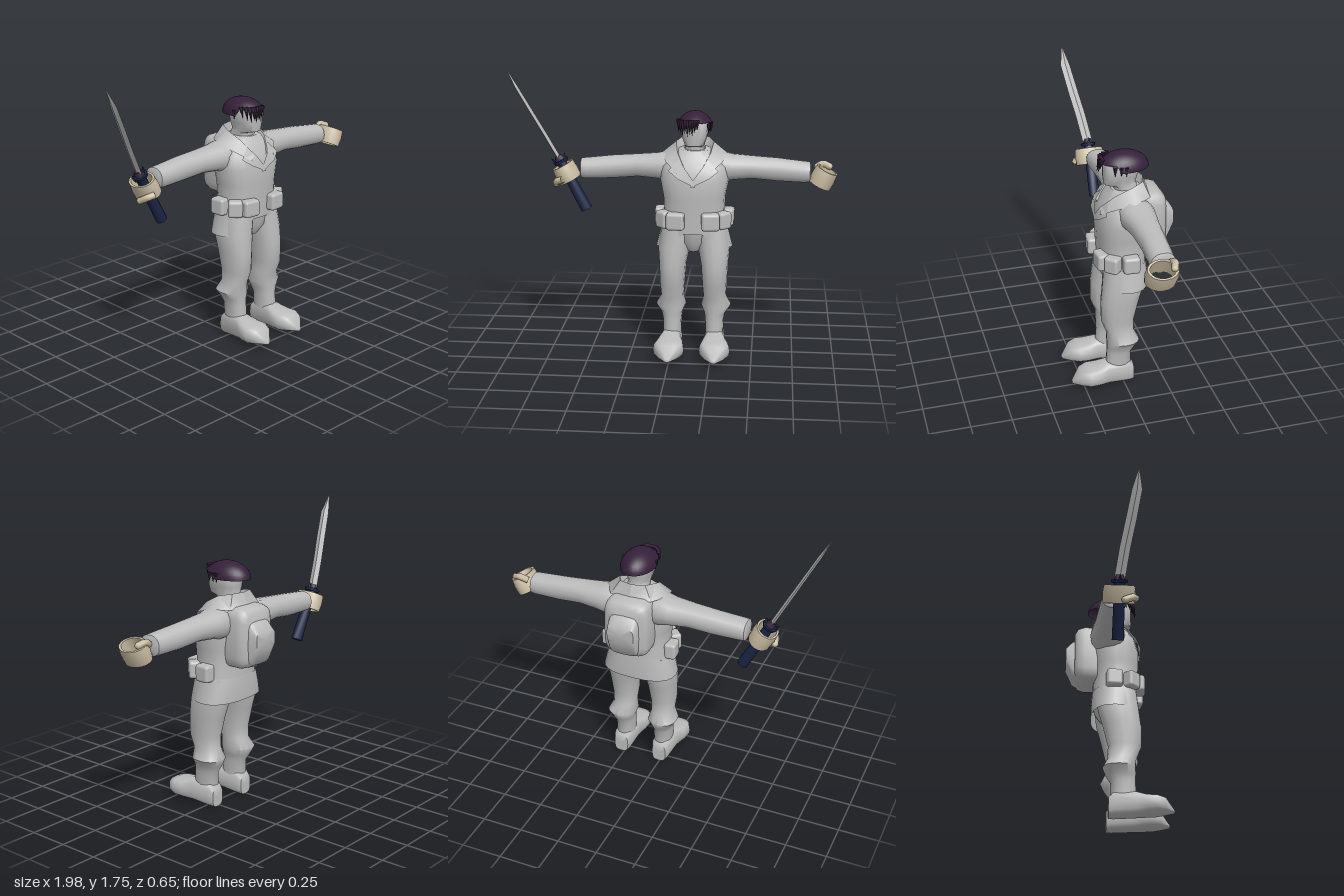
import * as THREE from 'three';
import { toCreasedNormals } from 'three/addons/utils/BufferGeometryUtils.js';
import { RoundedBoxGeometry } from 'three/addons/geometries/RoundedBoxGeometry.js';

const mat = (name, color) => Object.assign(new THREE.MeshStandardMaterial({ color, side: THREE.DoubleSide }), { name });

// Loft of superellipse sections [t, cu, cv, ru, rv] along an axis
const AXES = {
  y: (u, t, v) => [u, t, v],
  z: (u, t, v) => [v, u, t], // u = y, v = x
  x: (u, t, v) => [t, v, u], // u = z, v = y
};
function loft(axis, sections, { n = 16, e = 1, caps = true, crease = 0.9 } = {}) {
  const secs = [...sections].sort((a, b) => a[0] - b[0]);
  const pos = [], idx = [], map = AXES[axis];
  const pw = (c) => Math.sign(c) * Math.abs(c) ** e;
  for (const [t, cu, cv, ru, rv] of secs)
    for (let j = 0; j < n; j++) {
      const a = (j / n) * Math.PI * 2;
      pos.push(...map(cu + ru * pw(Math.cos(a)), t, cv + rv * pw(Math.sin(a))));
    }
  for (let i = 0; i < secs.length - 1; i++)
    for (let j = 0; j < n; j++) {
      const a = i * n + j, b = i * n + (j + 1) % n;
      idx.push(a, a + n, b, b, a + n, b + n);
    }
  if (caps) {
    const base = secs.length * n, last = base - n;
    for (const s of [secs[0], secs[secs.length - 1]]) pos.push(...map(s[1], s[0], s[2]));
    for (let j = 0; j < n; j++) {
      const k = (j + 1) % n;
      idx.push(base, j, k, base + 1, last + k, last + j);
    }
  }
  const g = new THREE.BufferGeometry();
  g.setAttribute('position', new THREE.Float32BufferAttribute(pos, 3));
  g.setIndex(idx);
  return toCreasedNormals(g, crease);
}

// Ribbon between two edges of equal length
function ribbon(inner, outer) {
  const pos = [...inner, ...outer].flat(), idx = [], n = inner.length;
  for (let i = 0; i < n - 1; i++) idx.push(i, i + n, i + 1, i + 1, i + n, i + n + 1);
  const g = new THREE.BufferGeometry();
  g.setAttribute('position', new THREE.Float32BufferAttribute(pos, 3));
  g.setIndex(idx);
  return toCreasedNormals(g, 0.9);
}

export function createModel() {
  const grey = mat('cloth grey', 0xbcbcbc);
  const purple = mat('dark purple', 0x35203a);
  const beige = mat('glove beige', 0xcabda3);
  const navy = mat('handle navy', 0x1a2545);

  const model = new THREE.Group();
  const body = new THREE.Group();
  body.name = 'body';
  body.position.x = 0.137;
  model.add(body);
  const add = (parent, name, geo, m) => {
    const mesh = new THREE.Mesh(geo, m);
    mesh.name = name;
    parent.add(mesh);
    return mesh;
  };

  // Jacket
  add(body, 'jacket', loft('y', [
    [0.78, 0, -0.02, 0.2, 0.14], [0.92, 0, -0.015, 0.186, 0.138], [1.0, 0, -0.015, 0.19, 0.143],
    [1.1, 0, -0.02, 0.21, 0.15], [1.18, 0, -0.03, 0.2, 0.14], [1.24, 0, -0.05, 0.16, 0.12],
    [1.28, 0, -0.06, 0.1, 0.1],
  ], { n: 20, e: 0.8 }), grey);

  // Skirt of the jacket, cut away at the front
  const skirt = loft('y', [[0.66, 0, -0.025, 0.235, 0.14], [0.74, 0, -0.025, 0.217, 0.142], [0.83, 0, -0.02, 0.197, 0.141]],
    { n: 24, e: 0.8, caps: false });
  const sp = skirt.attributes.position;
  for (let i = 0; i < sp.count; i++) {
    const f = Math.max(0, sp.getZ(i) + 0.03) / 0.145;
    const low = (0.83 - sp.getY(i)) / 0.17;
    sp.setY(i, sp.getY(i) + low * (0.02 + 0.13 * f * (1 - Math.abs(sp.getX(i)) / 0.24)));
  }
  add(body, 'jacketSkirt', skirt, grey);
  add(body, 'pelvis', loft('y', [[0.66, 0, -0.02, 0.05, 0.09], [0.72, 0, -0.02, 0.13, 0.125], [0.82, 0, -0.02, 0.18, 0.13]]), grey);

  // Head and neck
  add(body, 'head', loft('y', [
    [1.18, 0, -0.05, 0.065, 0.065], [1.3, 0, -0.045, 0.062, 0.07], [1.315, 0, -0.012, 0.06, 0.095],
    [1.36, 0, -0.015, 0.076, 0.102], [1.45, 0, -0.018, 0.085, 0.105], [1.475, 0, -0.025, 0.07, 0.08],
  ], { e: 0.75 }), grey);

  // Hair: domed cap with a higher front hairline, and a ragged fringe
  const cap = new THREE.SphereGeometry(1, 28, 9, 0, Math.PI * 2, 0, Math.PI / 2).scale(0.106, 0.1, 0.15);
  const cp = cap.attributes.position;
  for (let i = 0; i < cp.count; i++) if (cp.getZ(i) > 0.04) cp.setY(i, Math.max(cp.getY(i), 0.045));
  cap.computeVertexNormals();
  add(body, 'hairCap', cap, purple).position.set(0, 1.41, -0.038);
  for (let i = 0; i < 9; i++) {
    const x = -0.094 + i * 0.0145, len = [0.07, 0.085, 0.1, 0.08, 0.1, 0.085, 0.095, 0.075, 0.06][i];
    const lock = add(body, 'fringeLock', new THREE.ConeGeometry(0.014, len, 5), purple);
    lock.position.set(x, 1.475 - len / 2, 0.102 - 5 * Math.min(0, x + 0.04) ** 2 * 4);
    lock.rotation.x = Math.PI - 0.25;
  }
  for (const [x, z] of [[0.093, 0.0], [0.097, -0.03], [-0.097, -0.02], [0.085, 0.035]]) {
    const lock = add(body, 'sideLock', new THREE.ConeGeometry(0.014, 0.06, 5), purple);
    lock.position.set(x, 1.415, z);
    lock.rotation.x = Math.PI;
  }

  for (const s of [1, -1]) {
    const side = s > 0 ? 'left' : 'right';
    const flip = (pts) => pts.map(([x, y, z]) => [s * x, y, z]);

    // Standing collar, its fold, and the lapel
    const rim = flip([[0, 1.335, -0.155], [0.08, 1.335, -0.135], [0.115, 1.32, -0.06], [0.1, 1.27, 0.04], [0.055, 1.19, 0.115]]);
    add(body, side + 'Collar', ribbon(rim,
      flip([[0, 1.25, -0.185], [0.13, 1.25, -0.165], [0.2, 1.25, -0.06], [0.17, 1.215, 0.06], [0.095, 1.16, 0.132]])), grey);
    add(body, side + 'CollarInside', ribbon(rim,
      flip([[0, 1.24, -0.13], [0.06, 1.24, -0.11], [0.075, 1.24, -0.05], [0.06, 1.2, 0.03], [0.03, 1.14, 0.1]])), grey);
    add(body, side + 'Lapel', ribbon(
      flip([[0.085, 1.235, 0.08], [0.045, 1.18, 0.122], [0, 1.12, 0.135]]),
      flip([[0.15, 1.17, 0.105], [0.095, 1.13, 0.137], [-0.015, 1.075, 0.142]])), grey);

    // Sleeve
    add(body, side + 'Sleeve', loft('x', [
      [0.08, -0.06, 1.16, 0.1, 0.09], [0.17, -0.07, 1.165, 0.108, 0.092], [0.23, -0.073, 1.165, 0.1, 0.077],
      [0.35, -0.073, 1.165, 0.083, 0.068], [0.5, -0.073, 1.153, 0.074, 0.07], [0.66, -0.064, 1.143, 0.072, 0.064],
      [0.695, -0.064, 1.143, 0.07, 0.061], [0.7, -0.064, 1.143, 0.06, 0.052],
    ].map(([t, ...r]) => [s * t, ...r]), { e: 0.85 }), grey);

    // Trouser leg with a bloused cuff, then the boot
    add(body, side + 'Leg', loft('y', [
      [0.1, 0.13, 0.03, 0.054, 0.08], [0.22, 0.13, 0.025, 0.058, 0.075], [0.265, 0.132, 0.01, 0.066, 0.09],
      [0.31, 0.138, 0.002, 0.092, 0.1], [0.37, 0.13, 0.018, 0.07, 0.086], [0.45, 0.13, 0.035, 0.076, 0.1],
      [0.58, 0.128, 0.02, 0.084, 0.117], [0.68, 0.122, 0.0, 0.098, 0.125], [0.82, 0.1, -0.015, 0.1, 0.125],
    ].map(([t, c, ...r]) => [t, s * c, ...r]), { e: 0.85 }), grey);
    add(body, side + 'Boot', loft('z', [
      [-0.062, 0.065, 0.132, 0.062, 0.046], [-0.03, 0.08, 0.132, 0.077, 0.06], [0.1, 0.086, 0.135, 0.074, 0.065],
      [0.16, 0.08, 0.138, 0.06, 0.085], [0.22, 0.08, 0.14, 0.055, 0.094], [0.27, 0.077, 0.14, 0.046, 0.07],
      [0.325, 0.045, 0.14, 0.008, 0.015],
    ].map(([t, u, v, ...r]) => [t, u, s * v, ...r]), { e: 0.65 }), grey);

    // Three belt pouches wrapped around the hip
    for (const [x, z, turn, w] of [[0.105, 0.125, 0.1, 0.11], [0.178, 0.075, 0.8, 0.09], [0.205, -0.03, 1.5, 0.1]]) {
      const pouch = add(body, side + 'Pouch', new RoundedBoxGeometry(w, 0.105, 0.075, 2, 0.018), grey);
      pouch.position.set(s * x, 0.865, z);
      pouch.rotation.y = s * turn;
    }
  }

  // Backpack with a bulging pocket
  add(body, 'backpack', loft('z', [
    [-0.13, 1.08, 0, 0.185, 0.14], [-0.21, 1.08, 0, 0.185, 0.143], [-0.25, 1.08, 0, 0.172, 0.135], [-0.27, 1.08, 0, 0.145, 0.11],
  ], { n: 20, e: 0.4 }), grey);
  add(body, 'backpackPocket', loft('z', [
    [-0.24, 1.05, 0, 0.15, 0.1], [-0.285, 1.05, 0, 0.125, 0.095], [-0.325, 1.075, 0, 0.055, 0.085],
  ], { n: 20, e: 0.45 }), grey);

  // Gloved hands: hollow fists with a thumb
  const ringProfile = [[0.066, -0.052], [0.082, -0.052], [0.086, 0], [0.08, 0.052], [0.066, 0.052], [0.066, -0.052]]
    .map(([x, y]) => new THREE.Vector2(x, y));
  const hand = (name, x, y, z, tilt, thumbPts) => {
    const g = new THREE.Group();
    g.name = name;
    g.position.set(x, y, z);
    g.rotation.z = tilt;
    const ring = toCreasedNormals(new THREE.LatheGeometry(ringProfile, 16), 0.6);
    add(g, 'fist', ring, beige).scale.set(0.86, 1, 1.12);
    const path = new THREE.CatmullRomCurve3(thumbPts.map((p) => new THREE.Vector3(...p)));
    add(g, 'thumb', new THREE.TubeGeometry(path, 6, 0.021, 7), beige);
    add(g, 'thumbTip', new THREE.SphereGeometry(0.021, 8, 6), beige).position.set(...thumbPts[2]);
    model.add(g);
    return g;
  };
  hand('leftHand', 0.912, 1.118, -0.03, -0.45, [[-0.06, 0.02, -0.06], [-0.03, 0.06, -0.075], [0.01, 0.065, -0.06]]);
  const right = hand('rightHand', -0.65, 1.118, -0.04, 0.48, [[-0.02, -0.02, 0.095], [-0.06, -0.015, 0.075], [-0.085, -0.03, 0.03]]);

  // Sword held in the right hand
  const sword = new THREE.Group();
  sword.name = 'sword';
  right.add(sword);
  add(sword, 'handle', toCreasedNormals(new THREE.CylinderGeometry(0.03, 0.035, 0.34, 10), 0.8), navy).position.y = -0.09;
  add(sword, 'guard', new THREE.CylinderGeometry(0.05, 0.045, 0.018, 8), navy).position.y = 0.075;
  add(sword, 'guardCollar', new THREE.CylinderGeometry(0.022, 0.034, 0.03, 8), purple).position.y = 0.098;
  for (const s of [1, -1]) {
    const prong = add(sword, 'guardProng', new THREE.ConeGeometry(0.014, 0.045, 5), navy);
    prong.position.set(s * 0.038, 0.098, 0);
    prong.rotation.z = -s * 0.4;
  }
  add(sword, 'blade', loft('y', [
    [0.09, 0, 0.0, 0.012, 0.032], [0.27, 0, 0.026, 0.012, 0.032], [0.43, 0, 0.056, 0.011, 0.032],
    [0.6, 0, 0.085, 0.01, 0.03], [0.715, 0, 0.092, 0.002, 0.003],
  ], { n: 4, crease: 0.3 }), grey);

  return model;
}
